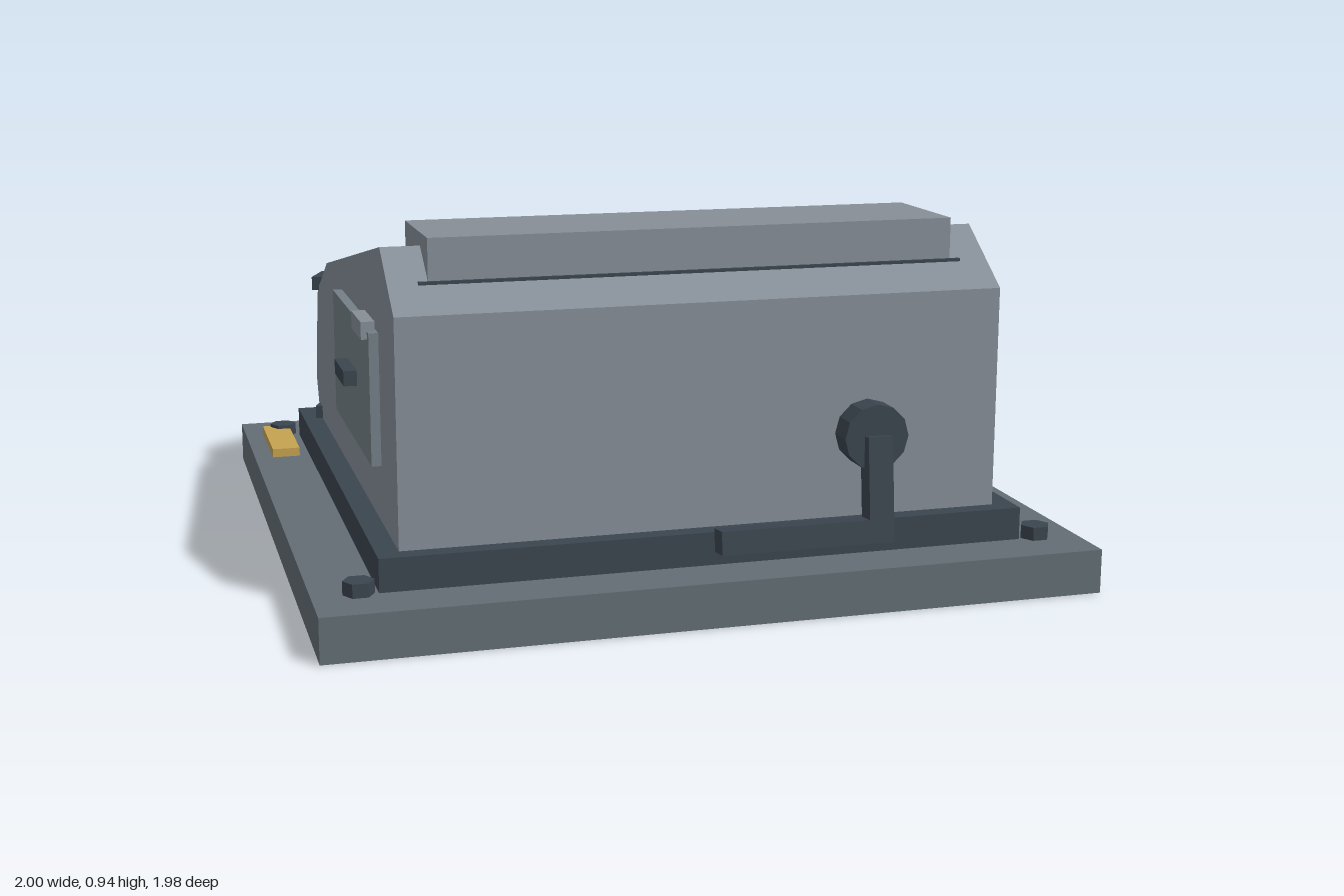
import * as THREE from 'three';

const mat = (name, color) => Object.assign(new THREE.MeshStandardMaterial({ color }), { name });

export function createModel() {
  const root = new THREE.Group();
  root.name = 'armouredHousing';
  const baseGrey = mat('baseGrey', 0x626d73);
  const bodyGrey = mat('bodyGrey', 0x868e97);
  const panelGrey = mat('panelGrey', 0x747f86);
  const dark = mat('darkSteel', 0x3b454f);
  const teal = mat('tealGlass', 0x2f6068);
  const brass = mat('brass', 0xc5a250);

  const add = (name, geo, material, x = 0, y = 0, z = 0) => {
    const m = new THREE.Mesh(geo, material);
    m.name = name;
    m.position.set(x, y, z);
    root.add(m);
    return m;
  };
  // Box given by its lower and upper limits on each axis
  const box = (name, material, [x0, x1], [y0, y1], [z0, z1]) =>
    add(name, new THREE.BoxGeometry(x1 - x0, y1 - y0, z1 - z0), material,
      (x0 + x1) / 2, (y0 + y1) / 2, (z0 + z1) / 2);

  // Base slab and plinth
  box('baseSlab', baseGrey, [-1, 1], [0, 0.115], [-0.988, 0.988]);
  box('plinth', dark, [-0.837, 0.837], [0.115, 0.2], [-0.8, 0.845]);

  // Wedge body: side profile (z, y) extruded across x
  const profile = [[0.797, 0.2], [0.797, 0.773], [0.6, 0.912], [-0.435, 0.715],
    [-0.67, 0.6], [-0.69, 0.575], [-0.772, 0.31], [-0.71, 0.2]];
  const shape = new THREE.Shape(profile.map(([z, y]) => new THREE.Vector2(-z, y)));
  const bodyGeo = new THREE.ExtrudeGeometry(shape, { depth: 1.56, bevelEnabled: false });
  bodyGeo.translate(0, 0, -0.78).rotateY(Math.PI / 2);
  add('body', bodyGeo, bodyGrey);

  // Roof box with a drip strip along its front
  box('roofBox', bodyGrey, [-0.68, 0.68], [0.835, 0.945], [0.383, 0.703]);
  box('dripStrip', dark, [-0.705, 0.705], [0.828, 0.84], [0.695, 0.713]);

  // Curved rear window: half an elliptic cylinder
  const rx = 0.78, rz = 0.295, zc = -0.65, steps = 10;
  const glass = new THREE.CylinderGeometry(1, 1, 0.395, steps, 1, false, Math.PI / 2, Math.PI);
  glass.scale(rx, 1, rz);
  add('rearWindow', glass, teal, 0, 0.4125, zc);

  // Segmented rims above and below the window
  const arc = (i) => {
    const t = -Math.PI / 2 + (i * Math.PI) / steps;
    return [rx * Math.sin(t), zc - rz * Math.cos(t)];
  };
  for (const [name, y] of [['lowerRim', 0.218], ['upperRim', 0.62]]) {
    for (let i = 0; i < steps; i++) {
      const [ax, az] = arc(i), [bx, bz] = arc(i + 1);
      const len = Math.hypot(bx - ax, bz - az) + 0.008;
      const seg = add(name, new THREE.BoxGeometry(len, 0.04, 0.04), dark, (ax + bx) / 2, y, (az + bz) / 2);
      seg.rotation.y = -Math.atan2(bz - az, bx - ax);
    }
  }

  // Side hatch with latch and upper tab
  box('sideHatch', panelGrey, [-0.805, -0.775], [0.35, 0.69], [-0.115, 0.55]);
  box('hatchLatch', dark, [-0.84, -0.8], [0.51, 0.55], [0.155, 0.325]);
  box('hatchTab', bodyGrey, [-0.82, -0.785], [0.67, 0.715], [0.36, 0.525]);

  // Front crank: hub, leaning arm and grip
  const hub = new THREE.CylinderGeometry(0.085, 0.085, 0.075, 12).toNonIndexed();
  hub.computeVertexNormals();
  hub.rotateX(Math.PI / 2);
  add('crankHub', hub, dark, 0.423, 0.42, 0.83);
  const arm = add('crankArm', new THREE.BoxGeometry(0.065, 0.25, 0.055), dark, 0.423, 0.3, 0.878);
  arm.rotation.x = -0.11;
  const grip = add('crankGrip', new THREE.BoxGeometry(0.455, 0.06, 0.06), dark, 0.2275, 0.187, 0.888);
  grip.rotation.x = -0.11;

  // Corner bolts and brass plates
  const bolt = new THREE.CylinderGeometry(0.039, 0.039, 0.035, 6).toNonIndexed();
  bolt.computeVertexNormals();
  bolt.rotateY(Math.PI / 6);
  for (const s of [-1, 1]) {
    for (const z of [-0.82, 0.837]) add('cornerBolt', bolt, dark, s * 0.885, 0.1325, z);
    const x = s * 0.907;
    box('brassPlate', brass, [x - 0.04, x + 0.04], [0.115, 0.14], [-0.835, -0.53]);
  }
  return root;
}
